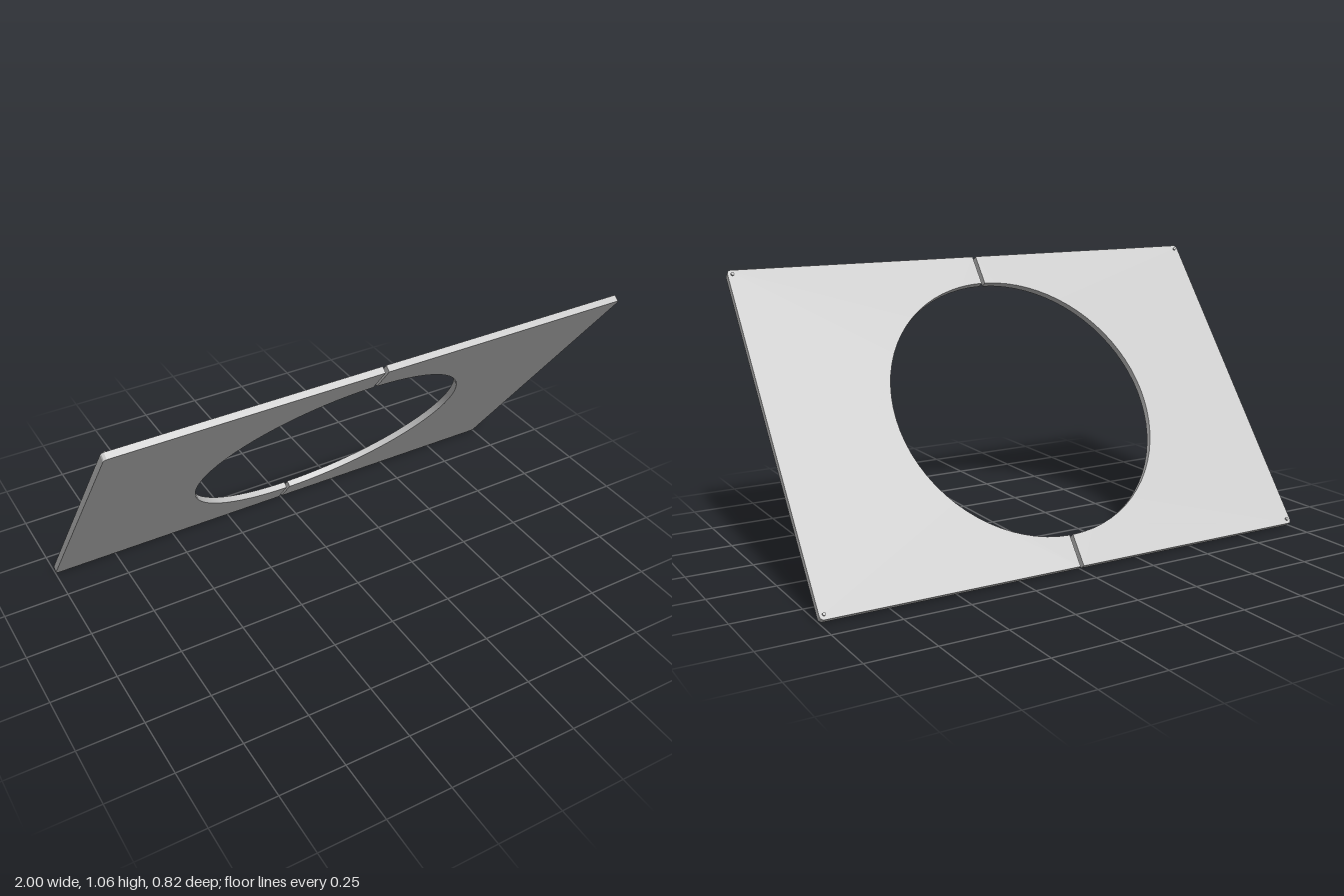
import * as THREE from 'three';
import { toCreasedNormals } from 'three/addons/utils/BufferGeometryUtils.js';

const HALF_HEIGHT = 0.6575;   // along the sloping face
const THICKNESS = 0.025;
const HOLE = 0.535;           // radius of the round opening
const GAP = 0.007;            // half the slit between the panels
const CORNER = 0.015;
const TILT = THREE.MathUtils.degToRad(37.4);

// One half of the split plate, with a half-round cut-out
function halfPlateGeometry() {
  const h = HALF_HEIGHT, c = CORNER, a = Math.asin(GAP / HOLE);
  const shape = new THREE.Shape();
  shape.moveTo(GAP, h);
  shape.lineTo(1 - c, h);
  shape.absarc(1 - c, h - c, c, Math.PI / 2, 0, true);
  shape.lineTo(1, -h + c);
  shape.absarc(1 - c, -h + c, c, 0, -Math.PI / 2, true);
  shape.lineTo(GAP, -h);
  shape.absarc(0, 0, HOLE, -Math.PI / 2 + a, Math.PI / 2 - a, false);
  shape.closePath();
  const geo = new THREE.ExtrudeGeometry(shape, { depth: THICKNESS, bevelEnabled: false, curveSegments: 18 });
  geo.translate(0, 0, -THICKNESS / 2);
  return toCreasedNormals(geo, 0.5);
}

export function createModel() {
  const model = new THREE.Group();
  model.name = 'splitPlate';
  const material = new THREE.MeshStandardMaterial({ color: 0xcccccc });
  const plateGeo = halfPlateGeometry();
  const pinGeo = new THREE.CylinderGeometry(0.006, 0.006, 0.007, 12).rotateX(Math.PI / 2);

  for (const [side, turn] of [['left', 0], ['right', Math.PI]]) {
    const half = new THREE.Group();
    half.name = side + 'Half';
    half.rotation.z = turn;

    const plate = new THREE.Mesh(plateGeo, material);
    plate.name = side + 'Plate';
    half.add(plate);

    // Small pins on the upper face, near the outer corners
    for (const s of [-1, 1]) {
      const pin = new THREE.Mesh(pinGeo, material);
      pin.name = side + 'CornerPin';
      pin.position.set(0.983, s * (HALF_HEIGHT - 0.018), -THICKNESS / 2 - 0.002);
      half.add(pin);
    }
    model.add(half);
  }

  // Lean the plate forward and rest its lower edge on the ground
  model.rotation.x = TILT;
  model.position.y = HALF_HEIGHT * Math.cos(TILT) + (THICKNESS / 2) * Math.sin(TILT);
  const root = new THREE.Group();
  root.name = 'leaningPlate';
  root.add(model);
  return root;
}
